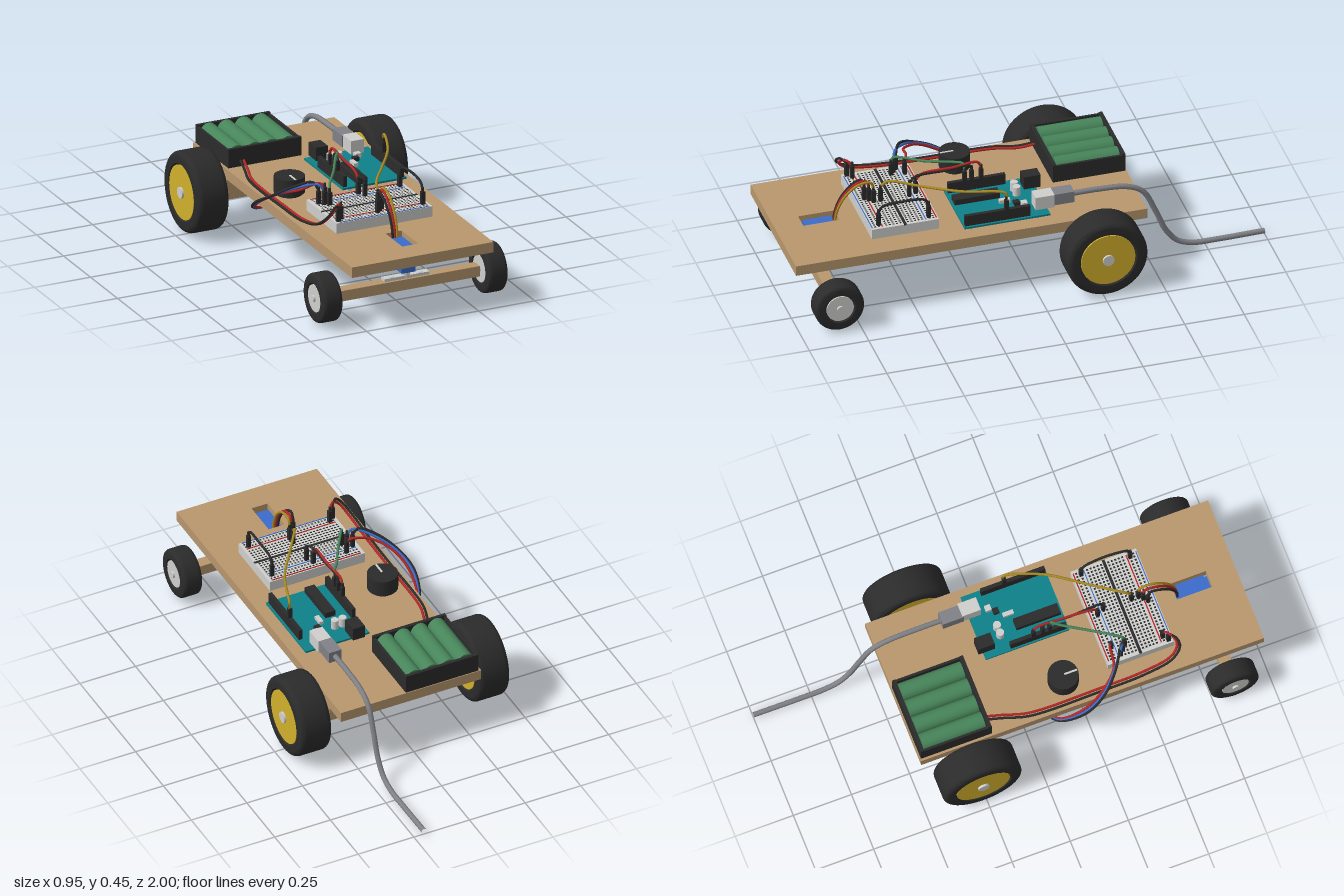
import * as THREE from 'three';
import { mergeGeometries, toCreasedNormals } from 'three/addons/utils/BufferGeometryUtils.js';

const mat = (name, color, side = THREE.FrontSide) => {
  const m = new THREE.MeshStandardMaterial({ color, side });
  m.name = name;
  return m;
};

export function createModel() {
  const wood = mat('wood', 0xb8976d);
  const black = mat('black', 0x2b2b2b);
  const white = mat('light grey', 0xcfcfcd);
  const grey = mat('cable grey', 0x808287);
  const yellow = mat('yellow', 0xd2b02c);
  const green = mat('green', 0x47855a);
  const teal = mat('teal', 0x0f818a);
  const blue = mat('blue', 0x3b6ccb);
  const red = mat('red', 0xb32626);
  const mustard = mat('wire yellow', 0xa88a22);

  const model = new THREE.Group();
  model.name = 'wheeledRobot';
  let target = model;
  const group = (name) => {
    target = new THREE.Group();
    target.name = name;
    model.add(target);
    return target;
  };
  const add = (name, geo, m) => {
    const mesh = new THREE.Mesh(geo, m);
    mesh.name = name;
    target.add(mesh);
    return mesh;
  };
  // box from its limits on each axis
  const box = (name, m, x0, x1, y0, y1, z0, z1) => add(name,
    new THREE.BoxGeometry(x1 - x0, y1 - y0, z1 - z0)
      .translate((x0 + x1) / 2, (y0 + y1) / 2, (z0 + z1) / 2), m);
  const post = (name, m, x, z, r, y0, y1, n = 24) => add(name,
    new THREE.CylinderGeometry(r, r, y1 - y0, n).translate(x, (y0 + y1) / 2, z), m);
  const rodX = (name, m, x0, x1, y, z, r) => add(name,
    new THREE.CylinderGeometry(r, r, x1 - x0, 32).rotateZ(Math.PI / 2).translate((x0 + x1) / 2, y, z), m);
  const tube = (name, m, pts, r = 0.0055, seg = 48) => {
    const curve = new THREE.CatmullRomCurve3(pts.map((p) => new THREE.Vector3(...p)), false, 'centripetal');
    return add(name, new THREE.TubeGeometry(curve, seg, r, 8), m);
  };

  // deck with the servo window
  const deck = new THREE.Shape();
  deck.moveTo(-0.315, -0.475).lineTo(0.315, -0.475).lineTo(0.315, 1).lineTo(-0.315, 1).closePath();
  const hole = new THREE.Path();
  hole.moveTo(-0.036, 0.732).lineTo(-0.036, 0.885).lineTo(0.036, 0.885).lineTo(0.036, 0.732).closePath();
  deck.holes.push(hole);
  group('chassis');
  add('deck', new THREE.ExtrudeGeometry(deck, { depth: 0.045, bevelEnabled: false })
    .rotateX(Math.PI / 2).translate(0, 0.29, 0), wood);
  box('frontAxleBeam', wood, -0.32, 0.32, 0.09, 0.135, 0.815, 0.865);
  for (const s of [-1, 1]) {
    const c = s * 0.2375;
    box('rearAxleBlock', wood, c - 0.052, c + 0.052, 0.135, 0.245, -0.32, -0.21);
  }
  rodX('rearAxle', white, -0.476, 0.476, 0.178, -0.265, 0.016);

  // wheels: rounded tyre, disc hub and centre cap
  const wheel = (name, s, x0, x1, y, z, r, hubR, hubMat, bevel) => {
    group(name);
    const cx = s * (x0 + x1) / 2, h = (x1 - x0) / 2, arc = [];
    for (let i = 0; i <= 6; i++) {
      const a = -Math.PI / 2 + i * Math.PI / 12;
      arc.push([r - bevel + bevel * Math.cos(a), -h + bevel + bevel * Math.sin(a)]);
    }
    const side = [[hubR, -h + 0.01], [hubR + 0.008, -h], ...arc];
    const profile = [...side, ...side.map(([a, b]) => [a, -b]).reverse()];
    const tyre = new THREE.LatheGeometry(profile.map((p) => new THREE.Vector2(...p)), 48);
    add('tyre', toCreasedNormals(tyre, 0.6).rotateZ(Math.PI / 2).translate(cx, y, z), black);
    rodX('hub', hubMat, cx - h + 0.003, cx + h - 0.003, y, z, hubR + 0.001);
    rodX('hubCap', white, cx - h - 0.006, cx + h + 0.006, y, z, r * 0.14);
  };
  for (const s of [-1, 1]) {
    const n = s > 0 ? 'left' : 'right';
    wheel(n + 'RearWheel', s, 0.33, 0.47, 0.178, -0.265, 0.169, 0.113, yellow, 0.022);
    wheel(n + 'FrontWheel', s, 0.325, 0.411, 0.115, 0.842, 0.103, 0.056, white, 0.016);
  }

  // steering servo and its horn
  group('servo');
  box('servoBody', blue, -0.031, 0.031, 0.165, 0.272, 0.75, 0.87);
  box('servoFlange', blue, -0.031, 0.031, 0.232, 0.243, 0.73, 0.89);
  post('servoShaft', white, 0, 0.84, 0.018, 0.135, 0.165);
  box('servoHorn', white, -0.1, 0.1, 0.136, 0.148, 0.824, 0.856);
  for (const s of [-1, 1]) post('hornScrew', white, s * 0.064, 0.84, 0.012, 0.084, 0.15, 12);

  // battery tray with four cells
  group('batteryPack');
  box('trayFloor', black, -0.305, 0.022, 0.29, 0.3, -0.472, -0.167);
  for (const x of [-0.305, 0.012]) box('traySide', black, x, x + 0.01, 0.29, 0.365, -0.472, -0.167);
  for (const z of [-0.472, -0.182]) box('trayEnd', black, -0.305, 0.022, 0.29, 0.37, z, z + 0.015);
  for (let i = 0; i < 4; i++) {
    add('cell', new THREE.CylinderGeometry(0.037, 0.037, 0.266, 28).rotateX(Math.PI / 2)
      .translate(-0.256 + i * 0.0765, 0.338, -0.32), green);
  }

  // controller board
  group('controller');
  box('circuitBoard', teal, -0.01, 0.275, 0.307, 0.315, -0.08, 0.28);
  for (const [x, z] of [[0.02, -0.03], [0.245, -0.03], [0.03, 0.25], [0.245, 0.25]]) {
    post('standoff', white, x, z, 0.012, 0.29, 0.307, 12);
  }
  box('mainChip', black, 0.062, 0.106, 0.315, 0.34, 0.08, 0.27);
  box('header', black, -0.003, 0.013, 0.315, 0.362, 0.03, 0.27);
  box('header', black, 0.25, 0.266, 0.315, 0.362, 0.0, 0.275);
  box('powerJack', black, 0.02, 0.073, 0.315, 0.372, -0.1, -0.03);
  for (const x of [0.065, 0.1]) post('capacitor', white, x, 0.01, 0.016, 0.315, 0.355);
  box('resetButton', white, 0.175, 0.2, 0.315, 0.335, -0.008, 0.016);
  box('crystal', white, 0.13, 0.148, 0.315, 0.33, 0.05, 0.095);
  box('regulator', black, 0.155, 0.18, 0.315, 0.33, 0.018, 0.042);
  box('usbSocket', white, 0.176, 0.234, 0.315, 0.373, -0.11, -0.03);
  box('usbPlug', grey, 0.172, 0.228, 0.32, 0.37, -0.195, -0.105);
  tube('usbCable', grey, [[0.2, 0.345, -0.19], [0.2, 0.345, -0.3], [0.2, 0.335, -0.42], [0.2, 0.3, -0.49],
    [0.202, 0.2, -0.542], [0.204, 0.1, -0.585], [0.204, 0.04, -0.635], [0.204, 0.017, -0.7],
    [0.204, 0.014, -0.8], [0.204, 0.017, -1]], 0.0115, 80);

  // breadboard with printed rails and rows of holes
  group('breadboard');
  box('boardBlock', white, -0.215, 0.212, 0.29, 0.335, 0.368, 0.65);
  box('centreChannel', black, -0.215, 0.212, 0.33, 0.336, 0.503, 0.515);
  for (const z of [0.373, 0.6]) box('redRail', red, -0.2, 0.2, 0.334, 0.337, z, z + 0.005);
  for (const z of [0.418, 0.643]) box('blueRail', blue, -0.2, 0.2, 0.334, 0.337, z, z + 0.004);
  const holes = [];
  const rows = [0.387, 0.404, 0.434, 0.449, 0.464, 0.479, 0.494, 0.525, 0.54, 0.555, 0.57, 0.585, 0.615, 0.632];
  for (const z of rows) {
    for (let i = 0; i < 28; i++) {
      holes.push(new THREE.PlaneGeometry(0.008, 0.008).rotateX(-Math.PI / 2)
        .translate(-0.196 + i * 0.0145, 0.3362, z));
    }
  }
  add('pinHoles', mergeGeometries(holes), black);

  // control knob on top, its housing and terminals below
  group('knob');
  post('knobCap', black, -0.2, 0.18, 0.063, 0.3, 0.37, 32);
  post('knobSkirt', black, -0.2, 0.18, 0.052, 0.29, 0.3, 32);
  box('pointerLine', white, -0.204, -0.196, 0.368, 0.372, 0.185, 0.24);
  post('potHousing', white, -0.2, 0.185, 0.044, 0.203, 0.245, 32);
  for (const x of [-0.22, -0.2, -0.18]) box('terminal', white, x - 0.005, x + 0.005, 0.217, 0.222, 0.1, 0.15);

  // jumper plugs: a square sleeve with a narrow neck
  group('jumperPlugs');
  const plug = (x, z, y = 0.336, h = 0.055) => {
    box('plugSleeve', black, x - 0.008, x + 0.008, y, y + h, z - 0.008, z + 0.008);
    post('plugNeck', black, x, z, 0.006, y + h, y + h + 0.018, 8);
  };
  const plugs = [[-0.19, 0.43], [-0.172, 0.445], [-0.155, 0.46], [-0.15, 0.404], [-0.18, 0.615], [-0.2, 0.632],
    [0.185, 0.404], [0.185, 0.615], [0, 0.404], [0.015, 0.434], [-0.015, 0.615], [0, 0.6], [0.015, 0.585]];
  for (const [x, z] of plugs) plug(x, z);
  for (const [x, z] of [[0.258, 0.1], [0.005, 0.13], [0.005, 0.17], [0.005, 0.2]]) plug(x, z, 0.36, 0.045);

  // wiring
  group('wiring');
  // servo lead through the window to the breadboard
  [[mustard, 0.015, 0.585], [red, 0, 0.6], [black, -0.015, 0.615]].forEach(([m, x, z]) => tube('servoWire', m,
    [[x * 0.7, 0.25, 0.744], [x * 0.7, 0.3, 0.74], [x * 0.8, 0.37, 0.71], [x, 0.425, 0.65], [x, 0.428, z + 0.01], [x, 0.4, z]]));
  tube('signalWire', mustard, [[0.015, 0.4, 0.555], [0.02, 0.425, 0.53], [0.1, 0.43, 0.41], [0.2, 0.438, 0.26],
    [0.25, 0.445, 0.13], [0.258, 0.435, 0.1], [0.258, 0.4, 0.1]]);
  plug(0.015, 0.555);
  tube('sensorWire', green, [[-0.155, 0.4, 0.46], [-0.15, 0.42, 0.45], [-0.08, 0.425, 0.34], [-0.02, 0.438, 0.235],
    [0.003, 0.44, 0.205], [0.005, 0.4, 0.2]]);
  tube('supplyWire', red, [[0.005, 0.41, 0.13], [0.005, 0.437, 0.145], [0.005, 0.43, 0.25], [0, 0.42, 0.38], [0, 0.395, 0.404]]);
  tube('groundWire', black, [[0.005, 0.41, 0.17], [0.008, 0.43, 0.18], [0.005, 0.422, 0.28], [0.012, 0.42, 0.41], [0.015, 0.395, 0.434]]);
  // rail link across the breadboard
  tube('railWire', black, [[0.185, 0.39, 0.404], [0.186, 0.42, 0.42], [0.19, 0.432, 0.51], [0.186, 0.42, 0.6], [0.185, 0.39, 0.615]]);
  // battery lead along the deck edge
  [[red, 0, -0.18, 0.615], [black, -0.014, -0.2, 0.632]].forEach(([m, d, px, pz]) => tube('batteryWire', m,
    [[-0.235 + d, 0.315, -0.175], [-0.25 + d, 0.3, -0.1], [-0.278 + d, 0.297, 0], [-0.282 + d, 0.297, 0.3],
      [-0.28 + d, 0.305, 0.5], [-0.268 + d, 0.335, 0.62], [-0.24 + d, 0.38, 0.655 - d / 2], [px - 0.02, 0.41, pz + 0.02], [px, 0.395, pz]]));
  // knob leads looping round the deck edge
  [[blue, 0, -0.172, 0.445], [red, 0.012, -0.15, 0.404], [black, -0.008, -0.19, 0.43]].forEach(([m, d, px, pz]) => tube('knobWire', m,
    [[-0.2 + d * 1.5, 0.219, 0.11], [-0.22 + d, 0.214, 0.08], [-0.29 + d, 0.212, 0.09], [-0.332 + d / 2, 0.235, 0.12],
      [-0.355 + d, 0.3, 0.22], [-0.325 + d, 0.355, 0.31], [-0.26 + d, 0.4 - d, 0.38], [px - 0.02, 0.42 - d, pz - 0.012], [px, 0.395, pz]]));

  return model;
}
